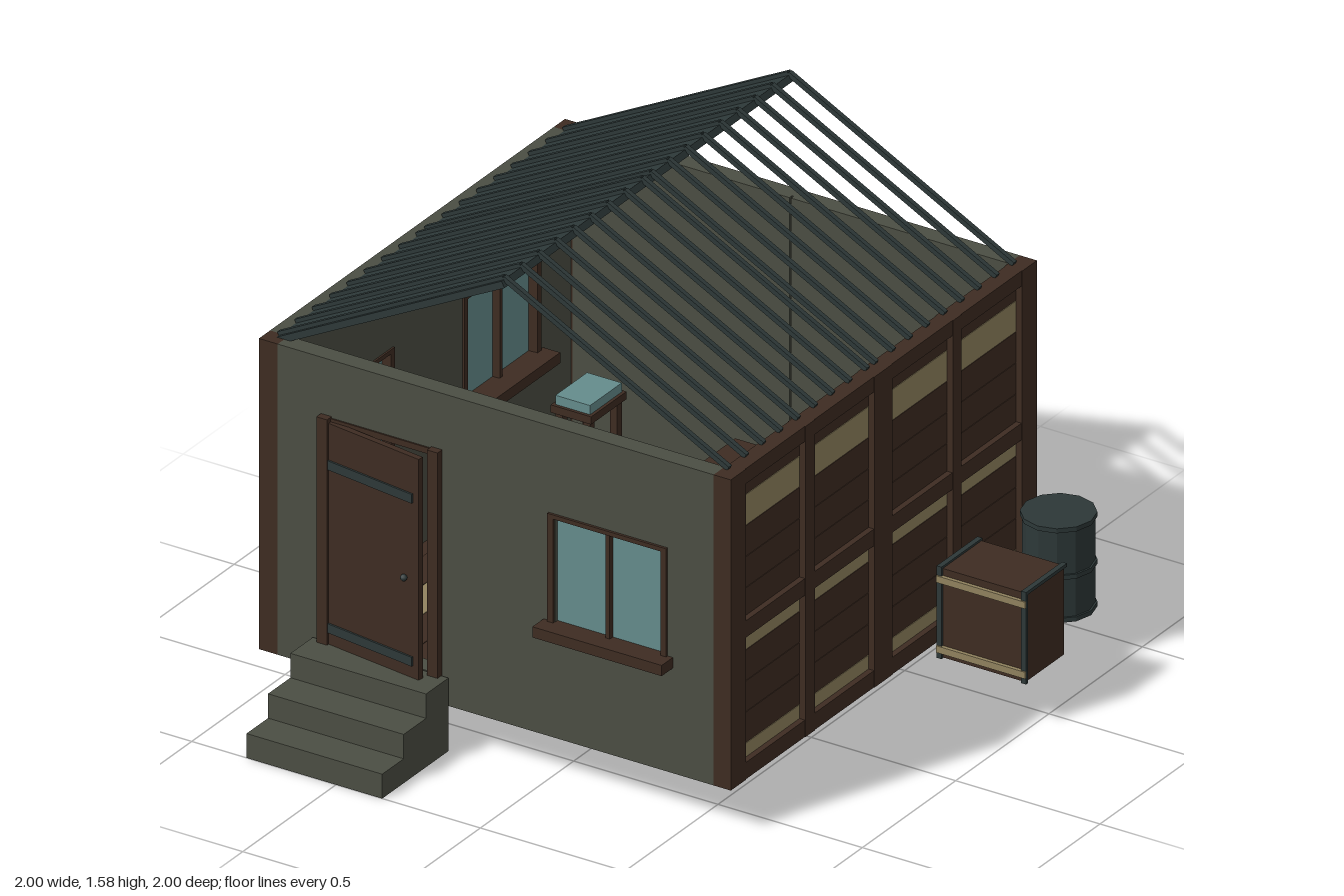
import * as THREE from 'three';

const mat = (name, color) => {
  const m = new THREE.MeshStandardMaterial({ color });
  m.name = name;
  return m;
};

export function createModel() {
  const plaster = mat('plaster', 0x4b4e43);
  const wood = mat('darkWood', 0x3e2c22);
  const pale = mat('paleWood', 0x91835f);
  const metal = mat('metal', 0x2d3838);
  const glass = mat('glass', 0x658c8c);

  const house = new THREE.Group();
  house.name = 'house';
  const group = (name, parent = house) => {
    const g = new THREE.Group();
    g.name = name;
    parent.add(g);
    return g;
  };
  const add = (parent, name, geo, m) => {
    const mesh = new THREE.Mesh(geo, m);
    mesh.name = name;
    parent.add(mesh);
    return mesh;
  };
  // Box given by its minimum and maximum on each axis
  const box = (parent, name, m, x0, x1, y0, y1, z0, z1) => {
    const mesh = add(parent, name, new THREE.BoxGeometry(x1 - x0, y1 - y0, z1 - z0), m);
    mesh.position.set((x0 + x1) / 2, (y0 + y1) / 2, (z0 + z1) / 2);
    return mesh;
  };

  const BASE = 0.145, TOP = 1.165;

  // Floor slab with planks, every third one pale
  const floor = group('floor');
  box(floor, 'floorSlab', wood, -0.995, 0.63, BASE, 0.165, -0.995, 0.635);
  for (let i = 0; i < 15; i++) {
    const x = -0.93 + i * 0.1;
    box(floor, 'floorPlank', i % 3 === 1 ? pale : wood, x + 0.05, Math.min(x + 0.148, 0.575), 0.165, 0.18, -0.94, 0.58);
  }

  // Plastered walls with rectangular openings [u0, u1, y0, y1]
  const wall = (name, u0, u1, holes) => {
    const rect = (path, a, b, c, d) => path.moveTo(a, c).lineTo(b, c).lineTo(b, d).lineTo(a, d).closePath();
    const shape = rect(new THREE.Shape(), u0, u1, BASE, TOP);
    holes.forEach((h) => shape.holes.push(rect(new THREE.Path(), ...h)));
    return add(house, name, new THREE.ExtrudeGeometry(shape, { depth: 0.06, bevelEnabled: false }), plaster);
  };
  const WX0 = 0.52, WX1 = 0.87;
  wall('frontWall', -0.935, 0.575, [[-0.75, -0.4, 0.24, 0.965], [0.025, 0.4, WX0, WX1]]).position.z = 0.58;
  const leftZ = [-0.565, 0.22];
  const sideWall = wall('sideWall', -0.94, 0.58, leftZ.map((z) => [z - 0.188, z + 0.188, WX0, WX1]));
  sideWall.rotation.y = -Math.PI / 2;
  sideWall.position.x = -0.94;
  box(house, 'backWallPanel', plaster, -0.935, -0.184, BASE, TOP, -1, -0.94);
  box(house, 'backWallPanel', plaster, -0.178, 0.575, BASE, TOP, -1, -0.94);
  box(house, 'backWallSeam', plaster, -0.2, -0.16, BASE, TOP, -0.985, -0.955);

  // Corner posts
  for (const [x0, x1] of [[-1, -0.935], [0.575, 0.635]])
    for (const [z0, z1] of [[-1, -0.94], [0.58, 0.64]])
      box(house, 'cornerPost', wood, x0, x1, BASE, TOP, z0, z1);

  // Timber-framed wall: horizontal boards, every fourth pale, between posts and rails
  const timber = group('timberWall');
  for (let i = 0; i < 10; i++) {
    const y = BASE + i * 0.102;
    box(timber, 'wallBoard', i % 4 === 0 ? pale : wood, 0.594, 0.614, y, y + 0.1, -0.94, 0.58);
  }
  for (const [z0, z1] of [[0.56, 0.58], [0.19, 0.24], [-0.178, -0.13], [-0.225, -0.178], [-0.595, -0.55], [-0.94, -0.92]])
    box(timber, 'stud', wood, 0.575, 0.635, BASE, TOP, z0, z1);
  for (const [y0, y1] of [[BASE, 0.2], [0.61, 0.665], [1.115, TOP]])
    box(timber, 'rail', wood, 0.577, 0.633, y0, y1, -0.94, 0.58);

  // Windows: outer wall face lies at local z = 0
  const makeWindow = (sillZ0, sillZ1) => {
    const w = group('window');
    box(w, 'pane', glass, -0.188, 0.188, WX0, WX1, -0.035, -0.015);
    box(w, 'mullion', wood, -0.007, 0.007, WX0, WX1, -0.06, 0.003);
    for (const s of [-1, 1])
      box(w, 'jamb', wood, s * 0.196 - 0.01, s * 0.196 + 0.01, WX0, 0.88, -0.066, 0.008);
    box(w, 'head', wood, -0.206, 0.206, 0.866, 0.88, -0.066, 0.008);
    box(w, 'foot', wood, -0.206, 0.206, 0.51, 0.524, -0.066, 0.008);
    box(w, 'sill', wood, -0.224, 0.224, 0.49, 0.525, sillZ0, sillZ1);
    return w;
  };
  makeWindow(0, 0.06).position.set(0.21, 0, 0.64);
  for (const z of leftZ) {
    const w = makeWindow(-0.12, -0.055);
    w.rotation.y = -Math.PI / 2;
    w.position.set(-1, 0, z);
  }

  // Door frame and slightly open door with straps and knob
  box(house, 'doorPost', wood, -0.785, -0.748, 0.24, 0.98, 0.58, 0.665);
  box(house, 'doorPost', wood, -0.402, -0.365, 0.24, 0.98, 0.58, 0.665);
  box(house, 'doorLintel', wood, -0.75, -0.4, 0.955, 0.975, 0.575, 0.645);
  const door = group('door');
  door.position.set(-0.75, 0, 0.642);
  door.rotation.y = -0.14;
  box(door, 'doorSlab', wood, 0, 0.35, 0.24, 0.965, -0.006, 0.014);
  for (const y of [0.28, 0.815]) box(door, 'strap', metal, 0.005, 0.328, y, y + 0.03, 0.012, 0.02);
  add(door, 'knob', new THREE.SphereGeometry(0.011, 8, 6), metal).position.set(0.3, 0.563, 0.022);

  // Front steps
  const steps = group('steps');
  [1, 0.885, 0.765].forEach((z, i) => box(steps, 'step', plaster, -0.81, -0.34, i * 0.08, (i + 1) * 0.08, 0.645, z));

  // Roof: ribs on both slopes, sheet on one slope only
  const roof = group('roof');
  const SLOPE = Math.atan2(0.405, 0.78), LEN = Math.hypot(0.405, 0.78);
  for (const side of [-1, 1]) {
    const slope = group('roofSlope', roof);
    slope.position.set(-0.185, 1.575, 0);
    slope.rotation.z = -side * SLOPE;
    const x0 = side < 0 ? -LEN : 0, x1 = x0 + LEN;
    for (let i = 0; i < 18; i++) {
      const z = i < 9 ? -0.942 + i * 0.0925 : -0.155 + (i - 9) * 0.0925;
      box(slope, 'roofRib', metal, x0, x1, -0.01, 0.006, z - 0.008, z + 0.008);
    }
    if (side < 0) box(slope, 'roofSheet', metal, x0, x1, -0.028, -0.006, -0.955, 0.605);
  }

  // Table, stool and a small stand inside
  const table = (name, x0, x1, y, z0, z1) => {
    const t = group(name);
    box(t, 'top', wood, x0, x1, y - 0.025, y, z0, z1);
    for (const x of [x0 + 0.01, x1 - 0.035])
      for (const z of [z0 + 0.01, z1 - 0.035]) box(t, 'leg', wood, x, x + 0.025, 0.18, y - 0.025, z, z + 0.025);
  };
  table('table', -0.155, 0.375, 0.53, -0.605, -0.31);
  table('stool', 0.02, 0.2, 0.36, -0.26, -0.09);
  table('stand', -0.72, -0.58, 0.53, -0.68, -0.49);
  box(house, 'tableBox', metal, 0.09, 0.17, 0.53, 0.565, -0.48, -0.425);
  box(house, 'standBox', glass, -0.71, -0.59, 0.53, 0.56, -0.67, -0.5);

  // Crate with pale battens and metal end straps
  const crate = group('crate');
  box(crate, 'crateBody', wood, 0.692, 0.988, 0.148, 0.44, -0.6, -0.392);
  for (const y of [0.165, 0.395]) box(crate, 'batten', pale, 0.686, 0.994, y, y + 0.022, -0.393, -0.38);
  for (const x of [0.685, 0.978]) {
    box(crate, 'endStrap', metal, x, x + 0.017, BASE, 0.447, -0.396, -0.385);
    box(crate, 'endStrap', metal, x, x + 0.017, 0.436, 0.447, -0.604, -0.385);
  }

  // Twelve-sided barrel with raised hoops
  const barrel = group('barrel');
  barrel.position.set(0.82, 0, -0.83);
  const ring = (name, r, y0, y1) => {
    const g = new THREE.CylinderGeometry(r, r, y1 - y0, 12).toNonIndexed();
    g.computeVertexNormals();
    add(barrel, name, g, metal).position.y = (y0 + y1) / 2;
  };
  ring('barrelBody', 0.107, 0.16, 0.468);
  for (const y of [0.16, 0.3, 0.455]) ring('hoop', 0.113, y, y + 0.015);

  const model = new THREE.Group();
  model.name = 'model';
  model.add(house);
  return model;
}
